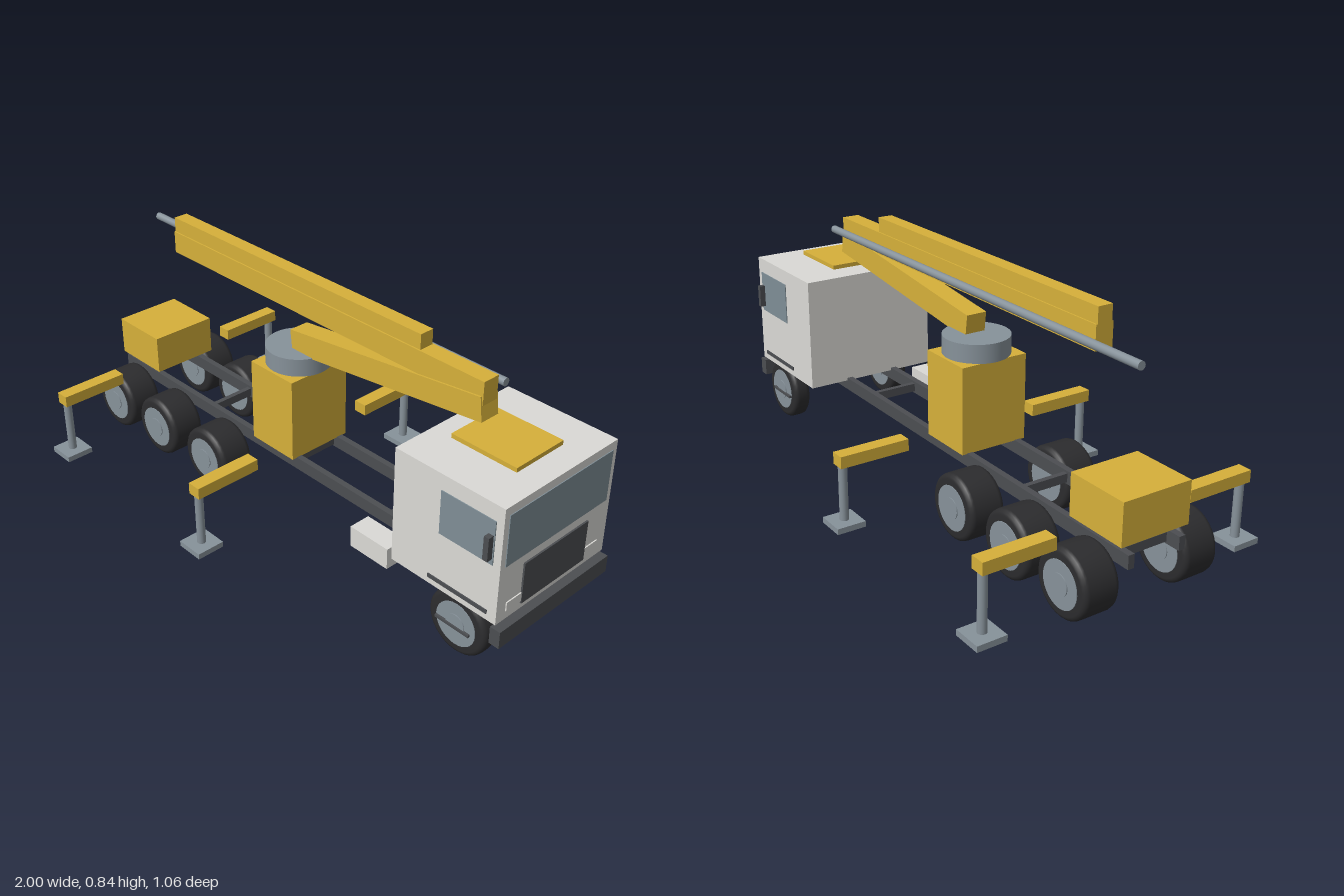
import * as THREE from 'three';

export function createModel() {
  const mat = (name, color) => {
    const m = new THREE.MeshStandardMaterial({ color });
    m.name = name;
    return m;
  };
  const yellow = mat('machine yellow', 0xd6b03a);
  const white = mat('cab white', 0xdbdad6);
  const dark = mat('chassis grey', 0x4c4e52);
  const rubber = mat('tyre rubber', 0x2c2c2e);
  const steel = mat('steel', 0x87929a);
  const glass = mat('window glass', 0x7f8e96);

  const model = new THREE.Group();
  const add = (name, geo, m, x, y, z, parent = model) => {
    const mesh = new THREE.Mesh(geo, m);
    mesh.name = name;
    mesh.position.set(x, y, z);
    parent.add(mesh);
    return mesh;
  };
  // Box given by its minimum and maximum on each axis
  const box = (name, m, x0, x1, y0, y1, z0, z1, parent) => add(
    name, new THREE.BoxGeometry(x1 - x0, y1 - y0, z1 - z0), m,
    (x0 + x1) / 2, (y0 + y1) / 2, (z0 + z1) / 2, parent);
  // Box on the +z side and its mirror image
  const pair = (name, m, x0, x1, y0, y1, z0, z1) => {
    box(name + 'Left', m, x0, x1, y0, y1, z0, z1);
    box(name + 'Right', m, x0, x1, y0, y1, -z1, -z0);
  };

  // Chassis ladder frame
  pair('frameRail', dark, -1, 0.965, 0.165, 0.21, 0.083, 0.105);
  for (const x of [-0.94, -0.49, -0.04, 0.41, 0.86])
    box('crossMember', dark, x - 0.009, x + 0.009, 0.172, 0.202, -0.084, 0.084);
  box('frontBumper', dark, 0.963, 1, 0.128, 0.188, -0.253, 0.253);
  box('sideTank', white, 0.38, 0.54, 0.132, 0.207, 0.158, 0.235);

  // Wheels: rounded tyre, rim disc and hub cap
  const wheel = (x, z, width) => {
    const g = new THREE.Group();
    g.name = 'wheel';
    g.position.set(x, 0.11, z);
    g.rotation.x = Math.PI / 2;
    const h = width / 2;
    const profile = [
      [0.07, -h], [0.094, -h], [0.102, -h + 0.003], [0.108, -h + 0.009], [0.11, -h + 0.018],
      [0.11, h - 0.018], [0.108, h - 0.009], [0.102, h - 0.003], [0.094, h], [0.07, h],
    ].map(p => new THREE.Vector2(...p));
    add('tyre', new THREE.LatheGeometry(profile, 32), rubber, 0, 0, 0, g);
    add('rim', new THREE.CylinderGeometry(0.075, 0.075, width + 0.004, 28), steel, 0, 0, 0, g);
    add('hub', new THREE.CylinderGeometry(0.035, 0.035, width + 0.01, 20), steel, 0, 0, 0, g);
    model.add(g);
  };
  for (const s of [1, -1]) {
    for (const x of [-0.885, -0.626, -0.345]) wheel(x, s * 0.184, 0.126);
    wheel(0.834, s * 0.214, 0.064);
  }

  // Cab
  box('cab', white, 0.572, 0.978, 0.2, 0.602, -0.25, 0.25);
  box('windshield', glass, 0.977, 0.981, 0.398, 0.574, -0.23, 0.23);
  box('grille', dark, 0.976, 0.984, 0.222, 0.366, -0.145, 0.145);
  pair('headlight', white, 0.976, 0.982, 0.23, 0.261, 0.145, 0.21);
  pair('sideWindow', glass, 0.754, 0.952, 0.4, 0.549, 0.249, 0.253);
  pair('sideStrip', dark, 0.72, 0.945, 0.223, 0.236, 0.249, 0.254);
  pair('mirror', dark, 0.93, 0.948, 0.42, 0.5, 0.253, 0.273);
  pair('step', dark, 0.76, 0.89, 0.097, 0.106, 0.245, 0.256);
  box('roofPlate', yellow, 0.652, 0.893, 0.608, 0.623, -0.103, 0.103);
  box('roofPlateBase', yellow, 0.67, 0.875, 0.6, 0.609, -0.085, 0.085);

  // Pedestal, turntable and rear hopper
  box('pedestal', yellow, -0.219, -0.016, 0.208, 0.507, -0.123, 0.123);
  add('turntable', new THREE.CylinderGeometry(0.113, 0.113, 0.064, 40), steel, -0.117, 0.538, 0);
  box('hopper', yellow, -0.99, -0.765, 0.234, 0.373, -0.124, 0.124);

  // Folded boom: sloping lower section, then two stacked sections
  const lowerBoom = add('lowerBoom', new THREE.BoxGeometry(0.818, 0.082, 0.074), yellow, 0.294, 0.645, 0);
  lowerBoom.rotation.z = 0.122;
  box('middleBoom', yellow, -0.738, 0.7, 0.705, 0.784, -0.031, 0.031);
  box('upperBoom', yellow, -0.738, 0.449, 0.77, 0.836, -0.026, 0.026);

  // Delivery pipe beside the boom
  const pipe = add('deliveryPipe', new THREE.CylinderGeometry(0.0135, 0.0135, 1.668, 16), steel, -0.134, 0.745, -0.068);
  pipe.rotation.z = Math.PI / 2;

  // Outriggers
  for (const x of [-0.844, -0.073]) {
    pair('outriggerArm', yellow, x - 0.025, x + 0.025, 0.211, 0.252, 0.25, 0.498);
    pair('outriggerFoot', steel, x - 0.05, x + 0.05, 0, 0.02, 0.43, 0.531);
    for (const s of [1, -1])
      add('outriggerLeg', new THREE.CylinderGeometry(0.015, 0.015, 0.2, 16), steel, x, 0.115, s * 0.48);
  }

  return model;
}
